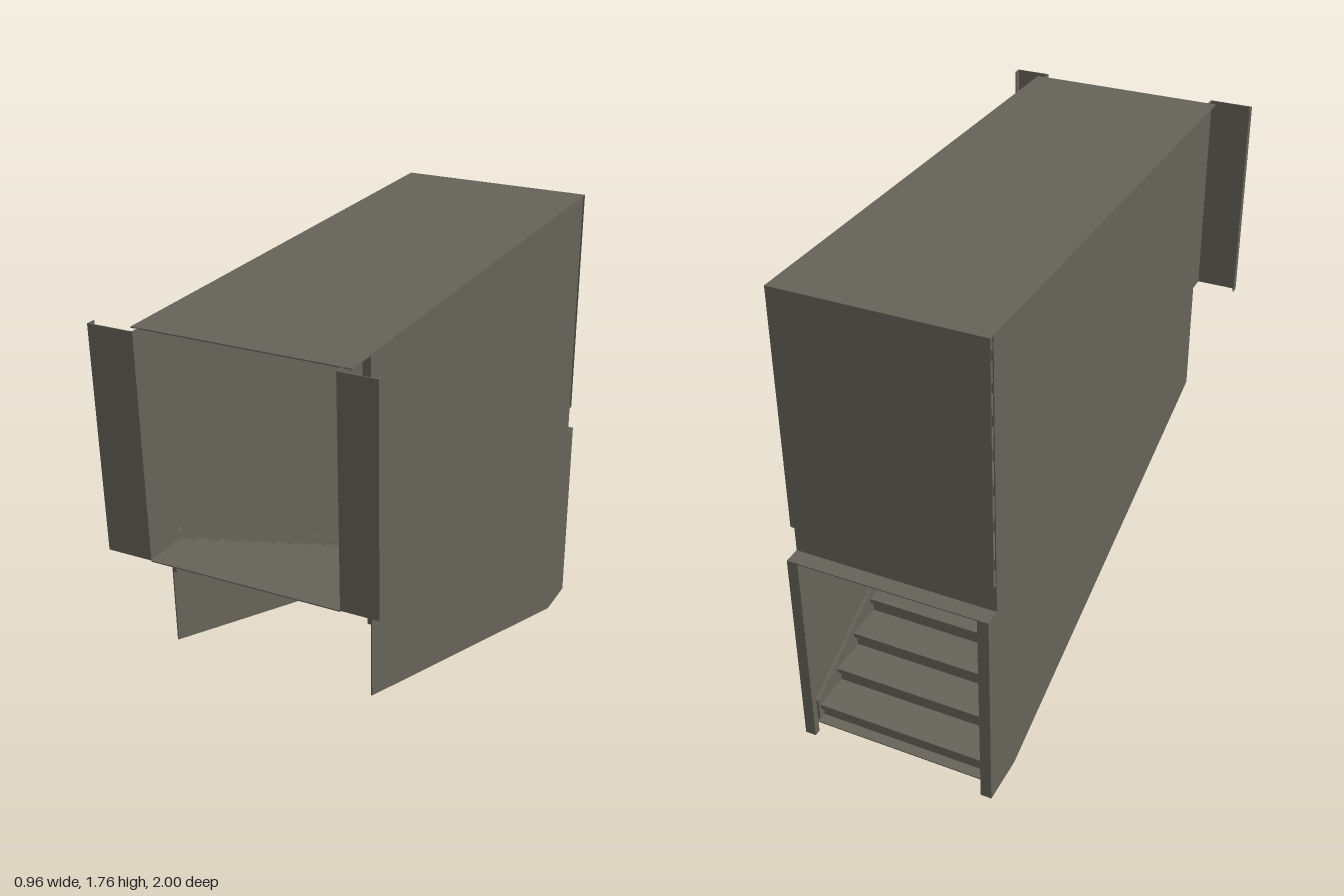
import * as THREE from 'three';

export function createModel() {
  const model = new THREE.Group();
  model.name = 'enclosedStaircase';
  const metal = new THREE.MeshStandardMaterial({ color: 0x66635a, side: THREE.DoubleSide });
  metal.name = 'grey brown metal';

  const T = 0.004; // sheet thickness
  const L = 0.38, R = -0.35; // inner limits of the two side walls
  const MID = (L + R) / 2, W = L - R;
  const TOP = 1.765;

  // Box given by its lower and upper corners
  function box(name, x0, x1, y0, y1, z0, z1, parent = model) {
    const mesh = new THREE.Mesh(new THREE.BoxGeometry(x1 - x0, y1 - y0, z1 - z0), metal);
    mesh.position.set((x0 + x1) / 2, (y0 + y1) / 2, (z0 + z1) / 2);
    mesh.name = name;
    parent.add(mesh);
  }

  // Upright sheet from a (z, y) outline, its +x face at the given x
  function sideSheet(name, outline, x, depth, parent = model) {
    const shape = new THREE.Shape(outline.map(([z, y]) => new THREE.Vector2(z, y)));
    const geo = new THREE.ExtrudeGeometry(shape, { depth, bevelEnabled: false });
    const mesh = new THREE.Mesh(geo, metal);
    mesh.rotation.y = -Math.PI / 2;
    mesh.position.x = x;
    mesh.name = name;
    parent.add(mesh);
  }

  // Side walls with the sloping lower edge
  const wall = [[0.85, TOP], [0.85, 0.61], [-0.82, 0], [-0.94, 0], [-0.94, TOP]];
  sideSheet('leftWall', wall, L, T);
  sideSheet('rightWall', wall, R + T, T);

  // Roof and the two panels above the lower doorway
  box('roof', R, L, TOP - T, TOP, -0.96, 0.965);
  box('backPanel', R, L, 0.885, TOP - T, -0.96, -0.96 + T);
  box('backPanelReturn', R, L, 0.885, 0.885 + T, -0.96, -0.94);
  box('lintelPanel', R, L, 0.77, 0.89, -0.94, -0.94 + T);

  // Stairs climbing from the back to the front landing
  const stairs = new THREE.Group();
  stairs.name = 'stairs';
  model.add(stairs);
  const risers = 15, rise = 1 / risers, z0 = -0.9, run = (0.85 - z0) / (risers - 1);
  for (let i = 0; i < risers; i++) {
    const z = z0 + i * run, y = i * rise;
    box('riser', R + T, L - T, y, y + rise, z, z + T, stairs);
    if (i < risers - 1) {
      box('tread', R + T, L - T, y + rise - 0.018, y + rise, z - 0.02, z + run, stairs);
    }
  }

  // Stringers along both walls
  const slope = rise / run;
  const pitch = (z) => (z - z0) * slope;
  const stringer = [
    [-0.93, 0], [-0.82, 0], [0.85, pitch(0.85) - 0.06], [0.85, 1],
    [0.8, pitch(0.8) + 0.11], [-0.93, pitch(-0.93) + 0.11],
  ];
  sideSheet('leftStringer', stringer, L - T, 0.012, stairs);
  sideSheet('rightStringer', stringer, R + T + 0.012, 0.012, stairs);

  // Landing at the upper doorway
  box('landing', R + 0.03, L - 0.03, 1 - T, 1, 0.83, 1);

  for (const s of [1, -1]) {
    // Mirrored pieces are measured inward from each wall
    const edge = s > 0 ? L : R;
    const span = (name, a, b, y0, y1, za, zb) =>
      box(name, Math.min(a, b), Math.max(a, b), y0, y1, za, zb);
    const inner = edge - s * 0.03;

    // Upper doorway: cheek, jamb, flange and folded lip
    span('frontCheek', inner, edge, 1, TOP, 0.85 - T, 0.85);
    span('frontJamb', inner, inner + s * T, 1, TOP, 0.85, 1);
    span('frontFlange', inner, s * 0.48, 1, TOP, 1 - T, 1);
    span('frontLip', s * (0.48 - T), s * 0.48, 1, TOP, 0.97, 1);

    // Lower doorway: outer post, face and inner return
    span('backPost', edge, edge - s * T, 0, 0.775, -1, -0.94);
    span('backPostFace', edge, edge - s * 0.04, 0, 0.775, -1, -1 + T);
    span('backPostReturn', edge - s * 0.04, edge - s * (0.04 - T), 0, 0.775, -1, -0.975);
  }

  // Lower doorway lintel and sill
  box('backLintel', R, L, 0.775 - T, 0.775, -1, -0.94);
  const sill = new THREE.Mesh(new THREE.BoxGeometry(W, T, 0.06), metal);
  sill.position.set(MID, T / 2, -0.91);
  sill.name = 'backSill';
  model.add(sill);

  return model;
}
